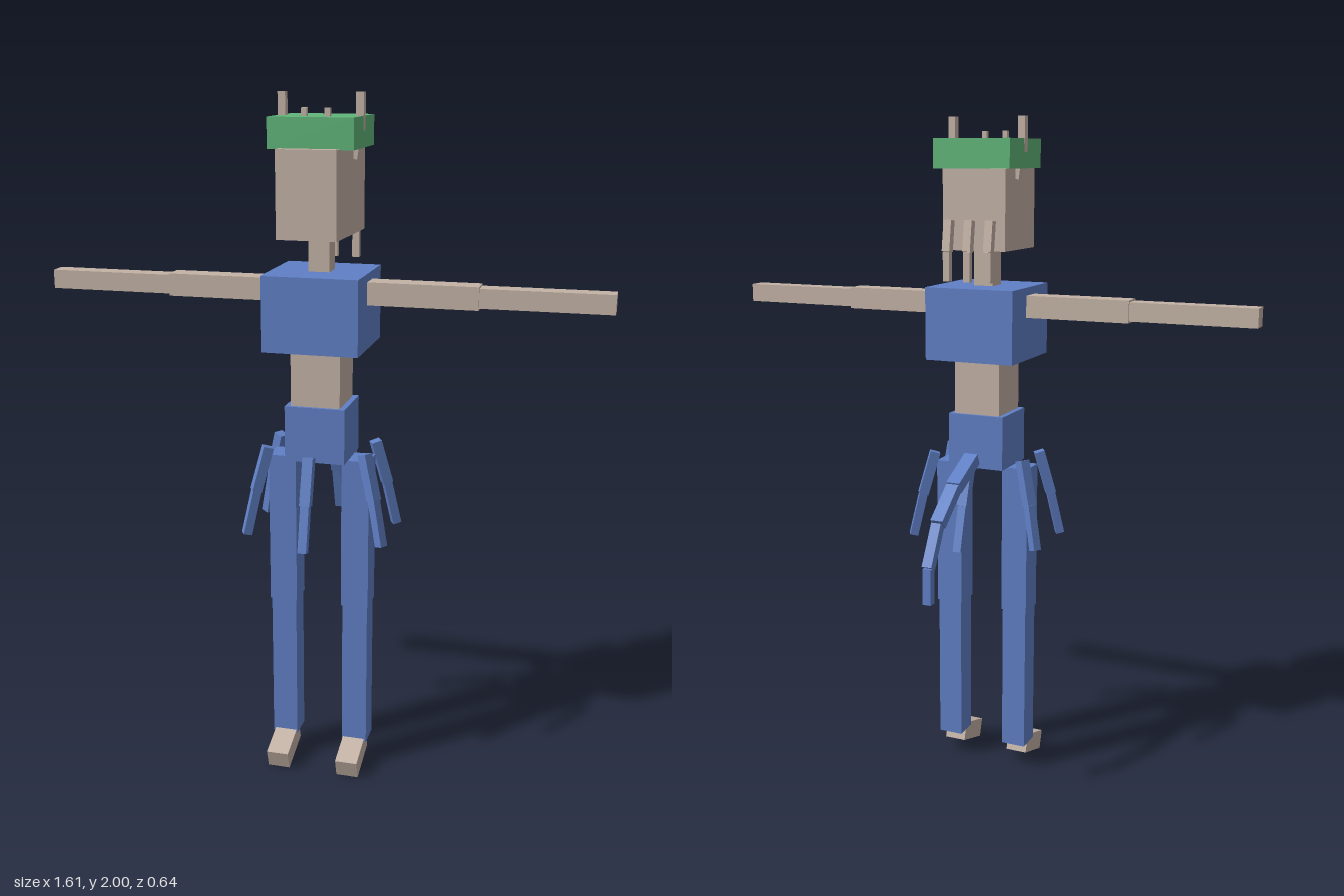
import * as THREE from 'three';

export function createModel() {
  const model = new THREE.Group();
  const material = (name, color) => {
    const m = new THREE.MeshStandardMaterial({ color });
    m.name = name;
    return m;
  };
  const blue = material('blue cloth', 0x6080c6);
  const tan = material('tan skin', 0xc4b3a6);
  const green = material('green cap', 0x60b67a);

  // Axis-aligned block given by its ranges along x, y and z
  function block(name, mat, [x0, x1], [y0, y1], [z0, z1]) {
    const mesh = new THREE.Mesh(new THREE.BoxGeometry(x1 - x0, y1 - y0, z1 - z0), mat);
    mesh.position.set((x0 + x1) / 2, (y0 + y1) / 2, (z0 + z1) / 2);
    mesh.name = name;
    model.add(mesh);
    return mesh;
  }

  // Bars strung along a list of points; sizes holds [width, thickness] per bar
  function chain(name, mat, points, sizes) {
    const group = new THREE.Group();
    group.name = name;
    sizes.forEach(([w, t], i) => {
      const a = new THREE.Vector3(...points[i]);
      const b = new THREE.Vector3(...points[i + 1]);
      const mesh = new THREE.Mesh(new THREE.BoxGeometry(w, t, a.distanceTo(b)), mat);
      mesh.position.copy(a).add(b).multiplyScalar(0.5);
      mesh.lookAt(b);
      mesh.name = name + 'Segment';
      group.add(mesh);
    });
    model.add(group);
  }

  // Head, narrowing slightly towards the face
  const head = block('head', tan, [-0.083, 0.083], [1.622, 1.858], [0, 0.257]);
  const p = head.geometry.attributes.position;
  for (let i = 0; i < p.count; i++) {
    if (p.getZ(i) < 0) p.setXY(i, p.getX(i) * 1.17, p.getY(i) * 0.97);
  }
  head.geometry.computeVertexNormals();

  // Cap and torso
  block('cap', green, [-0.118, 0.118], [1.855, 1.938], [-0.02, 0.215]);
  block('neck', tan, [-0.03, 0.03], [1.52, 1.63], [0.068, 0.13]);
  block('chest', blue, [-0.137, 0.137], [1.308, 1.52], [-0.039, 0.236]);
  block('waist', tan, [-0.071, 0.071], [1.143, 1.308], [0.022, 0.173]);
  block('hips', blue, [-0.087, 0.087], [0.982, 1.143], [0.012, 0.183]);

  for (const s of [-1, 1]) {
    const span = (a, b) => (s > 0 ? [a, b] : [-b, -a]);

    // Arms
    block('upperArm', tan, span(0.13, 0.445), [1.433, 1.497], [0.066, 0.13]);
    block('forearm', tan, span(0.445, 0.807), [1.438, 1.492], [0.071, 0.125]);

    // Legs and sloping feet
    block('thigh', blue, span(0.068, 0.149), [0.53, 0.982], [0.057, 0.141]);
    block('shin', blue, span(0.071, 0.146), [0.08, 0.53], [0.061, 0.137]);
    const foot = block('foot', tan, span(0.074, 0.14), [0.023, 0.081], [0.097, 0.227]);
    foot.rotation.x = 0.31;

    // Horns and small bumps on the cap
    block('horn', tan, span(0.098, 0.119), [1.9, 2], [0.087, 0.11]);
    chain('hornRoot', tan, [[s * 0.107, 1.92, 0.098], [s * 0.094, 1.825, 0.098]], [[0.025, 0.016]]);
    block('capBump', tan, span(0.025, 0.04), [1.93, 1.96], [0.146, 0.161]);

    // Two skirt strips on each side, splayed outwards
    for (const k of [-1, 1]) {
      chain('sideStrip', blue, [
        [s * 0.143, 1.015, 0.1 + k * 0.068],
        [s * 0.175, 0.885, 0.1 + k * 0.087],
        [s * 0.201, 0.755, 0.1 + k * 0.103],
      ], [[0.03, 0.03], [0.025, 0.025]]);
    }
  }

  // Centre strips of the skirt, front and back
  const strip = [[0.03, 0.03], [0.025, 0.025]];
  chain('frontStrip', blue, [[0, 1.015, 0.24], [0, 0.885, 0.277], [0, 0.755, 0.308]], strip);
  chain('backStrip', blue, [[0, 1.005, -0.033], [0, 0.885, -0.074], [0, 0.755, -0.112]], strip);

  // Curved tail
  chain('tail', blue, [
    [0, 1.017, -0.012], [0, 0.958, -0.14], [0, 0.877, -0.247], [0, 0.765, -0.31], [0, 0.66, -0.312],
  ], [[0.042, 0.036], [0.038, 0.032], [0.03, 0.028], [0.026, 0.024]]);

  // Three locks hanging behind the head
  for (const x of [-0.064, 0, 0.064]) {
    chain('lock', tan, [[x, 1.712, -0.029], [x, 1.625, -0.042], [x, 1.54, -0.042]],
      [[0.024, 0.024], [0.02, 0.018]]);
  }

  return model;
}
